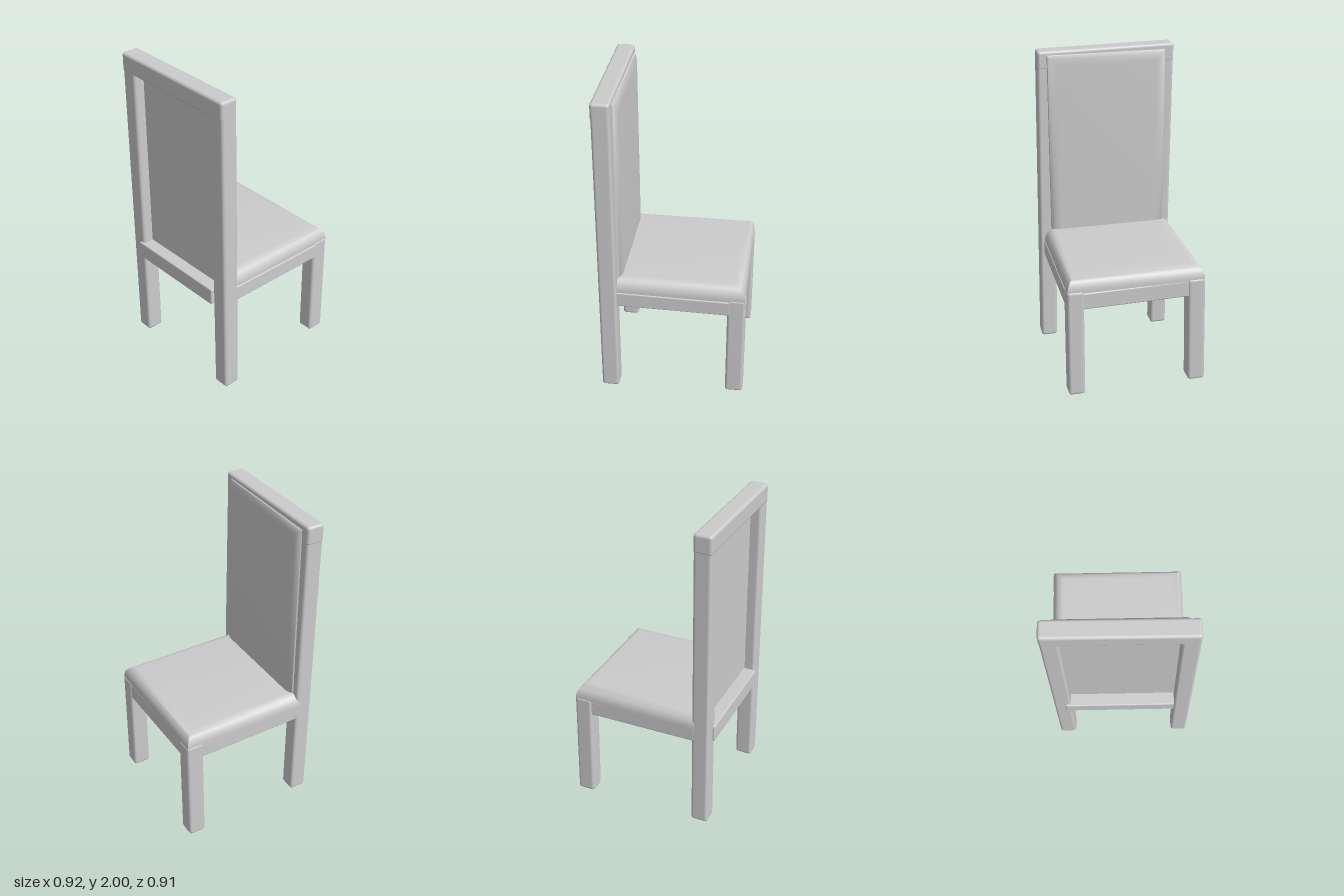
import * as THREE from 'three';
import { RoundedBoxGeometry } from 'three/addons/geometries/RoundedBoxGeometry.js';
import { toCreasedNormals } from 'three/addons/utils/BufferGeometryUtils.js';

const grey = new THREE.MeshStandardMaterial({ color: 0xcccccc });

function part(group, name, geometry) {
  const mesh = new THREE.Mesh(geometry, grey);
  mesh.name = name;
  group.add(mesh);
}

// Softly rounded timber between two corners
function timber(min, max, radius = 0.018) {
  const size = max.map((v, i) => v - min[i]);
  const centre = max.map((v, i) => (v + min[i]) / 2);
  return new RoundedBoxGeometry(...size, 3, radius).translate(...centre);
}

// Slants a timber: slides it along one axis in proportion to its place on another
function slant(geometry, along, slide, amount) {
  geometry.computeBoundingBox();
  const { min, max } = geometry.boundingBox;
  const from = min.getComponent(along), span = max.getComponent(along) - from;
  const p = geometry.attributes.position;
  for (let i = 0; i < p.count; i++) {
    const t = (p.getComponent(i, along) - from) / span;
    p.setComponent(i, slide, p.getComponent(i, slide) + amount * t);
  }
  return geometry;
}

// Rectangle padded on one side only: flat base at z = 0, rounded edges at the top
function cushion(x0, y0, x1, y1, height, bevelSize, bevelThickness) {
  const shape = new THREE.Shape([
    new THREE.Vector2(x0, y0), new THREE.Vector2(x1, y0),
    new THREE.Vector2(x1, y1), new THREE.Vector2(x0, y1),
  ]);
  const g = new THREE.ExtrudeGeometry(shape, {
    depth: height - bevelThickness, bevelEnabled: true, bevelSegments: 8,
    bevelSize, bevelThickness, bevelOffset: -bevelSize,
  });
  const p = g.attributes.position;
  for (let i = 0; i < p.count; i++) p.setZ(i, Math.max(0, p.getZ(i)));
  return g;
}

export function createModel() {
  const chair = new THREE.Group();
  chair.name = 'chair';
  const X = 0, Y = 1, Z = 2;

  // Tall back posts and short front legs, some leaning slightly
  part(chair, 'backPostLeft', slant(timber([-0.447, 0, 0.35], [-0.337, 1.98, 0.457]), Y, Z, -0.026));
  part(chair, 'backPostRight', slant(timber([-0.447, 0, -0.425], [-0.337, 1.98, -0.318]), Y, Z, -0.02));
  part(chair, 'frontLegLeft', timber([0.347, 0.008, 0.318], [0.459, 0.72, 0.422]));
  part(chair, 'frontLegRight', slant(timber([0.347, 0.008, -0.457], [0.459, 0.72, -0.348]), Y, Z, 0.015));

  // Rail across the top of the back
  part(chair, 'topRail', slant(timber([-0.45, 1.88, -0.446], [-0.336, 2, 0.431]), Z, Y, -0.012));

  // Rails under the seat
  part(chair, 'backRail', timber([-0.46, 0.6, -0.36], [-0.35, 0.71, 0.34], 0.008));
  part(chair, 'frontRail', slant(timber([0.35, 0.605, -0.37], [0.452, 0.711, 0.34], 0.008), Z, Y, -0.01));
  part(chair, 'sideRailLeft', slant(timber([-0.36, 0.617, 0.325], [0.365, 0.715, 0.424], 0.008), X, Y, -0.01));
  part(chair, 'sideRailRight', slant(timber([-0.36, 0.617, -0.432], [0.365, 0.715, -0.337], 0.008), X, Y, -0.01));

  // Seat pad, rounded on three sides and cut straight inside the back
  const seat = cushion(-0.44, -0.418, 0.454, 0.438, 0.095, 0.07, 0.08)
    .rotateX(-Math.PI / 2).translate(0, 0.707, 0);
  const p = seat.attributes.position;
  for (let i = 0; i < p.count; i++) p.setX(i, Math.max(-0.355, p.getX(i)));
  part(chair, 'seat', toCreasedNormals(seat, 1));

  // Padded back panel, set between the posts and swelling out in front
  const back = cushion(-0.375, 0.705, 0.39, 1.965, 0.071, 0.07, 0.032)
    .rotateY(Math.PI / 2).translate(-0.38, 0, 0);
  part(chair, 'backrest', toCreasedNormals(back, 1));

  return chair;
}
